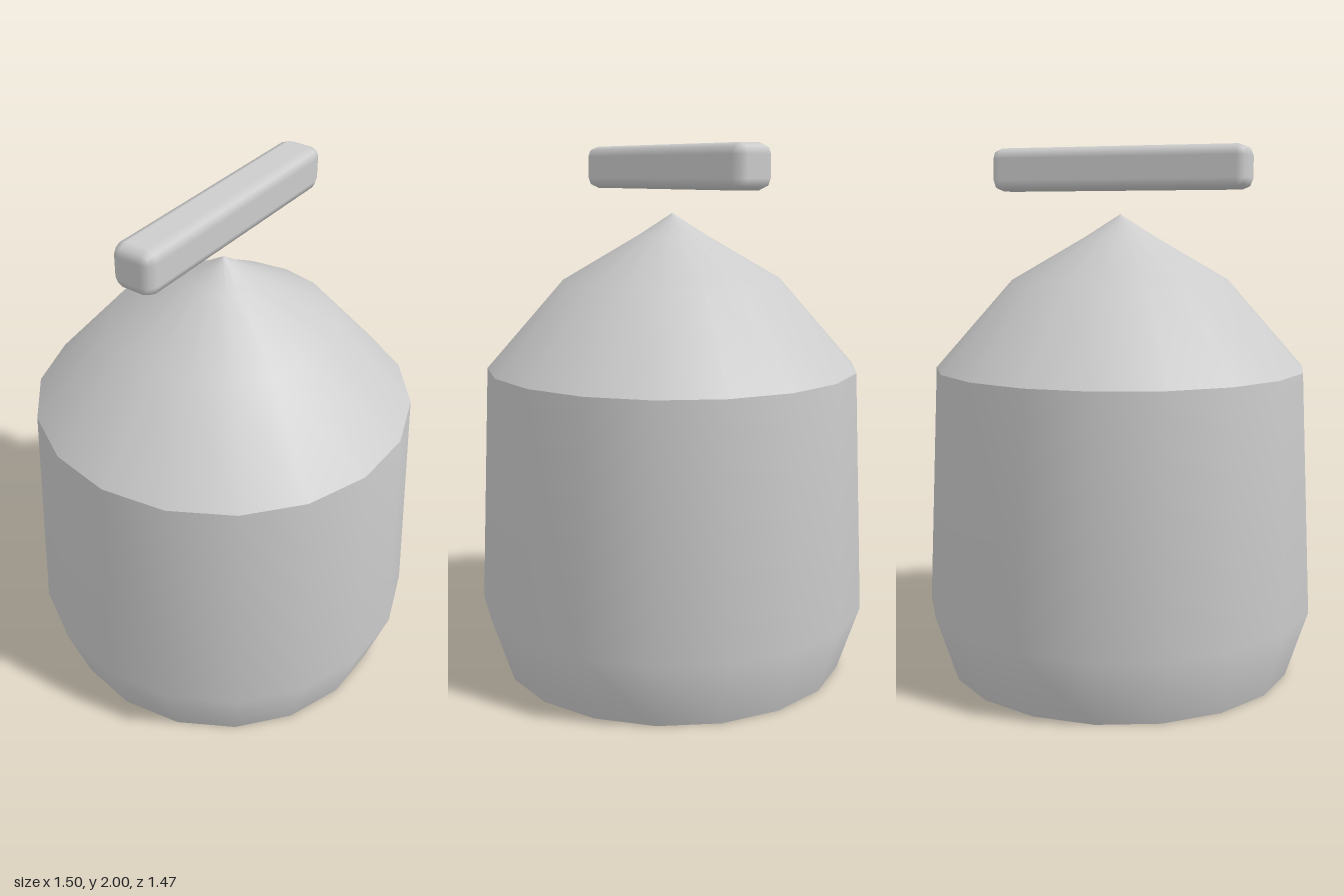
import * as THREE from 'three';
import { RoundedBoxGeometry } from 'three/addons/geometries/RoundedBoxGeometry.js';

const SIDES = 18;

export function createModel() {
  const model = new THREE.Group();
  const grey = new THREE.MeshStandardMaterial({ color: 0xcccccc });
  grey.name = 'light grey';

  // Turned part: smooth within one profile, sharp where two profiles meet
  const turned = (name, profile) => {
    const points = profile.map(([r, y]) => new THREE.Vector2(r, y));
    const mesh = new THREE.Mesh(new THREE.LatheGeometry(points, SIDES), grey);
    mesh.name = name;
    mesh.rotation.y = Math.PI / 2; // a corner points along x
    model.add(mesh);
  };

  turned('base', [[0, 0], [0.665, 0]]);
  turned('body', [[0.665, 0], [0.748, 0.255], [0.706, 1.17]]);
  turned('domedTop', [[0.706, 1.17], [0.413, 1.503], [0.13, 1.667], [0, 1.75]]);

  // Handle bar floating above the tip
  const handle = new THREE.Mesh(new RoundedBoxGeometry(1, 0.162, 0.162, 1, 0.04), grey);
  handle.name = 'handle';
  handle.position.y = 1.919;
  model.add(handle);

  return model;
}
